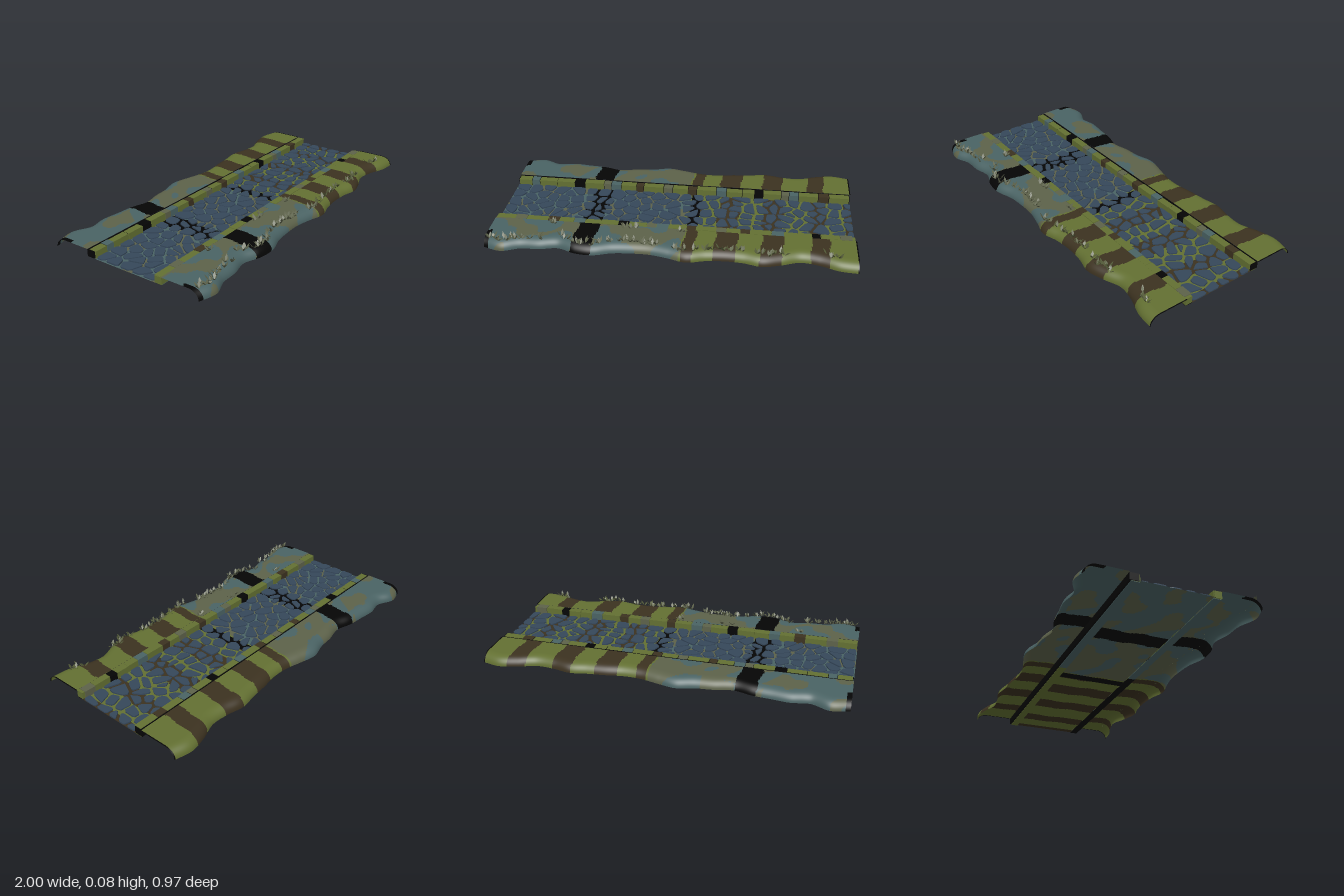
import * as THREE from 'three';
import { mergeGeometries } from 'three/addons/utils/BufferGeometryUtils.js';

const mat = (name, color) => {
  const m = new THREE.MeshStandardMaterial({ color, side: THREE.DoubleSide });
  m.name = name;
  return m;
};
const TEAL = 0, KHAKI = 1, BLACK = 2, BROWN = 3, OLIVE = 4, SLATE = 5, GRASS = 6;

// seeded random numbers
let seed = 7;
const rand = () => {
  seed = (seed * 16807) % 2147483647;
  return seed / 2147483647;
};
const between = (a, b) => a + (b - a) * rand();

// ground colour: mossy teal and khaki blotches on one half, olive and brown stripes on the other
const stripes = [[0.07, 0.13], [0.235, 0.355], [0.485, 0.6], [0.75, 0.845]];
function groundColour(x, z) {
  const out = Math.abs(z);
  if (x > 0.99 || (x < -0.978 && out > 0.36)) return BLACK;
  x += 0.007 * Math.sin(z * 17) + 0.004 * Math.sin(z * 41);
  if (x > -0.525 && x < -0.41) return BLACK;
  if (x > 0.06) return stripes.some(([a, b]) => x > a && x < b) ? BROWN : OLIVE;
  const n = Math.sin(x * 19 + 2 * Math.sin(z * 13)) + Math.sin(z * 27 + 1.7 * Math.sin(x * 11)) + 0.5 * Math.sin(x * 43 + z * 31);
  return n + x * 2.2 - (out > 0.39 ? 0.9 : 0) > -1.1 ? KHAKI : TEAL;
}
const roadColour = (x, z) => (x > 0.07 && x < 0.125 ? BLACK : x > 0.95 ? BROWN : groundColour(x, z));

// grid surface whose quads are grouped by colour; at(u, v) gives a point
function sheet(at, nu, nv, colour) {
  const pos = [], buckets = [[], [], [], [], []];
  for (let i = 0; i <= nu; i++) for (let j = 0; j <= nv; j++) pos.push(...at(i / nu, j / nv));
  for (let i = 0; i < nu; i++) {
    for (let j = 0; j < nv; j++) {
      const [x, , z] = at((i + 0.5) / nu, (j + 0.5) / nv);
      const a = i * (nv + 1) + j, b = a + nv + 1;
      buckets[colour(x, z)].push(a, a + 1, b, b, a + 1, b + 1);
    }
  }
  const g = new THREE.BufferGeometry();
  g.setAttribute('position', new THREE.Float32BufferAttribute(pos, 3));
  g.setIndex(buckets.flat());
  let start = 0;
  buckets.forEach((b, k) => {
    if (b.length) g.addGroup(start, b.length, k);
    start += b.length;
  });
  g.computeVertexNormals();
  return g;
}

// wavy outer edge, as distances from the middle at even steps of x
const edgeCurve = (d) => {
  const c = new THREE.CatmullRomCurve3(d.map((v, i) => new THREE.Vector3(-1 + i * 0.1, v, 0)));
  return (u) => c.getPoint(u).y;
};
const backEdge = edgeCurve([.46, .48, .44, .455, .445, .435, .41, .43, .44, .465, .445, .42, .415, .43, .44, .455, .435, .43, .465, .485, .465]);
const frontEdge = edgeCurve([.455, .48, .445, .44, .42, .455, .46, .43, .42, .42, .44, .465, .44, .43, .435, .455, .43, .395, .41, .445, .455]);

// flat verge that rolls down to the ground at its outer edge
function bank(edge, side) {
  const inner = side > 0 ? 0.233 : 0.242;
  const at = (u, v) => {
    const e = edge(u), top = e - 0.06, t = side > 0 ? v : 1 - v;
    const a = Math.max(0, (t - 0.6) / 0.4) * Math.PI / 2;
    const z = t < 0.6 ? inner + (top - inner) * t / 0.6 : top + 0.06 * Math.sin(a);
    return [u * 1.995 - 1, 0.05 * Math.cos(a), side * z];
  };
  return sheet(at, 320, 25, groundColour);
}

// keep the part of a polygon nearer to p than to q, less a gap
function clip(poly, p, q, gap) {
  const n = q.clone().sub(p).normalize(), m = p.clone().add(q).multiplyScalar(0.5);
  const dist = (v) => v.clone().sub(m).dot(n) + gap;
  const out = [];
  poly.forEach((a, i) => {
    const b = poly[(i + 1) % poly.length], da = dist(a), db = dist(b);
    if (da <= 0) out.push(a);
    if (da * db < 0) out.push(a.clone().lerp(b, da / (da - db)));
  });
  return out;
}

// irregular paving: one slab with trimmed corners per cell around scattered points
function paving() {
  const pts = [], slabs = [], nx = 28, nz = 5;
  for (let i = 0; i < nx; i++) {
    for (let j = 0; j < nz; j++) {
      pts.push(new THREE.Vector2(-1 + (i + between(0.03, 0.97)) * 2 / nx, -0.188 + (j + between(0.03, 0.97)) * 0.376 / nz));
    }
  }
  for (const p of pts) {
    const dark = (p.x > -0.55 && p.x < -0.4) || (p.x > 0.05 && p.x < 0.14);
    const gap = dark ? 0.009 : p.x > 0.1 ? between(0.005, 0.011) : between(0.004, 0.006);
    let poly = [[-0.995, -0.187], [0.99, -0.187], [0.99, 0.187], [-0.995, 0.187]].map((c) => new THREE.Vector2(...c));
    for (const q of pts) if (q !== p && q.distanceTo(p) < 0.3 && poly.length) poly = clip(poly, p, q, gap);
    if (poly.length < 3 || Math.abs(THREE.ShapeUtils.area(poly)) < 0.0005) continue;
    const trimmed = poly.flatMap((a, i) => {
      const b = poly[(i + 1) % poly.length];
      return [a.clone().lerp(b, 0.18), a.clone().lerp(b, 0.82)];
    });
    const g = new THREE.ExtrudeGeometry(new THREE.Shape(trimmed), { depth: between(0.005, 0.009), bevelEnabled: false });
    slabs.push(g.rotateX(-Math.PI / 2).translate(0, 0.0115, 0));
  }
  return mergeGeometries(slabs);
}

// tuft of flat pointed blades fanning out from one foot
function tuft(x, y, z, lean) {
  const pos = [];
  for (let i = 0; i < 5; i++) {
    const a = between(0, Math.PI * 2), len = between(0.022, 0.038), w = 0.0075;
    const dx = Math.cos(a) * len * 0.8, dz = Math.sin(a) * len * 0.75 + lean, h = between(0.012, 0.036);
    const sx = -Math.sin(a) * w, sz = Math.cos(a) * w;
    const mid = (s) => [x + dx * 0.55 + s * sx, y + h * 0.55, z + dz * 0.55 + s * sz];
    pos.push(x, y, z, ...mid(1), ...mid(-1), ...mid(-1), ...mid(1), x + dx, y + h, z + dz);
  }
  const g = new THREE.BufferGeometry();
  g.setAttribute('position', new THREE.Float32BufferAttribute(pos, 3));
  g.computeVertexNormals();
  return g;
}

export function createModel() {
  seed = 7;
  const mats = [
    mat('mossy teal', 0x4a6364), mat('khaki', 0x5d624a), mat('black', 0x050505), mat('earth brown', 0x3c3220),
    mat('olive', 0x637032), mat('slate blue', 0x35475a), mat('dull grass', 0x535a38),
  ];
  const model = new THREE.Group();
  const add = (name, geometry, material) => {
    const mesh = new THREE.Mesh(geometry, material);
    mesh.name = name;
    model.add(mesh);
  };

  // banks, road bed and paving
  add('backBank', bank(backEdge, -1), mats);
  add('frontBank', bank(frontEdge, 1), mats);
  add('roadBed', sheet((u, v) => [u * 1.99 - 1, 0.01, (v - 0.5) * 0.4], 300, 40, roadColour), mats);
  add('pavingStones', paving(), mats[SLATE]);

  // kerbs: a core that meets the bank, a thin foot, and a row of uneven blocks
  const rowColours = [OLIVE, KHAKI, OLIVE, BROWN, OLIVE, TEAL, OLIVE, OLIVE, BLACK, OLIVE, KHAKI, TEAL, OLIVE, BROWN];
  for (const side of [1, -1]) {
    const front = side > 0, name = front ? 'front' : 'back', outer = front ? 0.235 : 0.244;
    const core = new THREE.BoxGeometry(1.985, 0.039, outer - 0.195).translate(-0.005, 0.028, side * (outer + 0.195) / 2);
    add(name + 'KerbCore', core, mats[front ? OLIVE : BLACK]);
    for (const half of [1, -1]) {
      const foot = new THREE.BoxGeometry(0.99, 0.003, 0.044).translate(half * 0.495 - 0.003, 0.0065, side * 0.212);
      add(name + 'KerbFoot', foot, mats[half < 0 ? TEAL : front ? BLACK : OLIVE]);
    }
    const rows = mats.map(() => []);
    for (let x = -0.995, i = front ? 0 : 4; x < 0.97; i++) {
      const c = rowColours[i % rowColours.length];
      const len = Math.min(c === OLIVE ? between(0.07, 0.12) : between(0.04, 0.07), 0.993 - x);
      const h = between(0.0405, 0.044), d = between(0.04, 0.044);
      rows[c].push(new THREE.BoxGeometry(len - 0.003, h, d).translate(x + len / 2, 0.0075 + h / 2, side * between(0.21, 0.212)));
      x += len;
    }
    rows.forEach((r, c) => r.length && add(name + 'KerbBlocks', mergeGeometries(r), mats[c]));
  }

  // grass along the front edge, with a few clumps leaning on the kerb
  const bare = [[-0.68, -0.62], [-0.05, 0.03], [0.4, 0.46], [0.63, 0.83]];
  const grass = { [KHAKI]: [], [GRASS]: [] };
  for (let x = -0.97; x < 0.93; x += 0.02) {
    if (rand() < 0.15 || bare.some(([a, b]) => x > a && x < b)) continue;
    const z = frontEdge((x + 1) / 2) - between(0.025, 0.055);
    grass[x < 0.08 ? KHAKI : GRASS].push(tuft(x, 0.045, z, -0.004));
  }
  for (const x of [-0.67, -0.655, -0.26, -0.23, -0.2, 0.04, 0.06]) grass[KHAKI].push(tuft(x, 0.045, 0.258, -0.012));
  add('paleGrass', mergeGeometries(grass[KHAKI]), mats[KHAKI]);
  add('dullGrass', mergeGeometries(grass[GRASS]), mats[GRASS]);
  return model;
}
